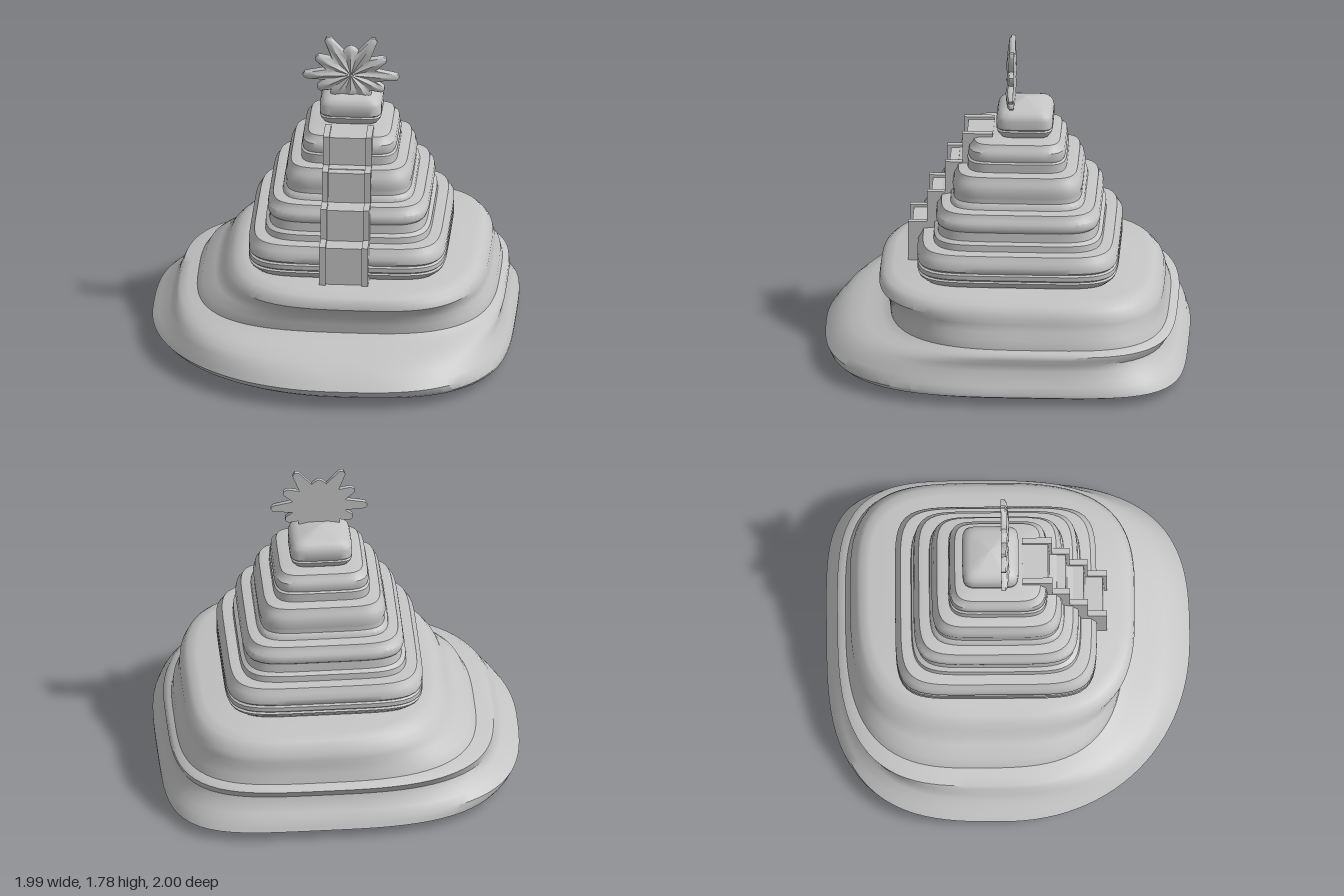
import * as THREE from 'three';
import { toCreasedNormals } from 'three/addons/utils/BufferGeometryUtils.js';

const SEG = 112;
const CX = 0.095; // axis of the pyramid

// Skin closed rings of equal length into a capped solid; rings run clockwise about the rising axis.
function skin(rings, crease) {
  const n = rings[0].length, pos = [], idx = [];
  rings.forEach(r => r.forEach(p => pos.push(...p)));
  for (let k = 0; k < rings.length - 1; k++) {
    for (let i = 0; i < n; i++) {
      const j = (i + 1) % n, a = k * n + i, b = k * n + j;
      idx.push(a, a + n, b, b, a + n, b + n);
    }
  }
  const cap = (k, bottom) => {
    const c = [0, 1, 2].map(d => rings[k].reduce((s, p) => s + p[d], 0) / n);
    const ci = pos.length / 3;
    pos.push(...c);
    for (let i = 0; i < n; i++) {
      const a = k * n + i, b = k * n + (i + 1) % n;
      if (bottom) idx.push(ci, a, b); else idx.push(ci, b, a);
    }
  };
  cap(0, true);
  cap(rings.length - 1, false);
  const g = new THREE.BufferGeometry();
  g.setAttribute('position', new THREE.Float32BufferAttribute(pos, 3));
  g.setIndex(idx);
  return toCreasedNormals(g, crease);
}

// Rounded-square ring; corner powers are ordered front-left, front-right, back-right, back-left.
function ring([y, x0, x1, z0, z1], powers, fx = 0.5, fz = 0.5) {
  const cx = x0 + (x1 - x0) * fx, cz = z0 + (z1 - z0) * fz, pts = [];
  for (let i = 0; i < SEG; i++) {
    const a = (i / SEG) * Math.PI * 2, c = Math.cos(a), s = Math.sin(a);
    const n = powers[Math.floor((i * 4) / SEG)];
    const r = Math.pow(Math.abs(c) ** n + Math.abs(s) ** n, -1 / n);
    pts.push([cx + c * r * (c > 0 ? x1 - cx : cx - x0), y, cz + s * r * (s > 0 ? z1 - cz : cz - z0)]);
  }
  return pts;
}

// Weathered rock mound: y, x range, z range
const MOUND = [
  [0, -0.6, 0.75, -0.75, 0.65],
  [0.02, -0.84, 0.92, -0.92, 0.86],
  [0.055, -0.94, 0.995, -0.995, 0.95],
  [0.075, -0.97, 0.995, -0.985, 0.98],
  [0.11, -0.995, 0.975, -0.97, 1.0],
  [0.145, -0.96, 0.96, -0.94, 0.97],
  [0.19, -0.9, 0.94, -0.91, 0.92],
  [0.225, -0.875, 0.935, -0.9, 0.86],
  [0.255, -0.86, 0.945, -0.92, 0.77],
  [0.275, -0.845, 0.94, -0.935, 0.69],
  [0.288, -0.8, 0.925, -0.92, 0.66],
  [0.3, -0.75, 0.905, -0.89, 0.64],
  [0.35, -0.72, 0.895, -0.875, 0.645],
  [0.39, -0.65, 0.87, -0.865, 0.65],
  [0.43, -0.61, 0.86, -0.865, 0.67],
  [0.465, -0.59, 0.855, -0.855, 0.7],
  [0.5, -0.56, 0.835, -0.83, 0.695],
  [0.525, -0.53, 0.81, -0.81, 0.67],
  [0.54, -0.48, 0.76, -0.76, 0.62],
];
// Corner powers at the foot of the mound and near its top
const FOOT = [3, 2.1, 3.05, 4.5], CROWN = [3, 3.2, 3, 3.6];

// Terraces: z centre, then [y, half width] profile
const TIERS = [
  { cz: -0.065, profile: [[0.53, 0.48], [0.545, 0.515], [0.57, 0.54], [0.583, 0.545], [0.59, 0.535], [0.6, 0.545],
    [0.625, 0.545], [0.633, 0.535], [0.645, 0.545], [0.675, 0.545], [0.7, 0.53], [0.73, 0.515], [0.735, 0.48]] },
  { cz: -0.065, profile: [[0.72, 0.46], [0.77, 0.455], [0.785, 0.435], [0.835, 0.43], [0.845, 0.44], [0.86, 0.445],
    [0.89, 0.44], [0.905, 0.425], [0.935, 0.415], [0.942, 0.38]] },
  { cz: -0.06, profile: [[0.93, 0.365], [0.96, 0.36], [0.975, 0.345], [0.995, 0.345], [1.005, 0.345], [1.03, 0.35],
    [1.075, 0.34], [1.09, 0.33], [1.118, 0.32], [1.125, 0.29]] },
  { cz: -0.055, profile: [[1.11, 0.265], [1.14, 0.265], [1.175, 0.265], [1.183, 0.255], [1.195, 0.26],
    [1.235, 0.255], [1.25, 0.24], [1.275, 0.228], [1.282, 0.2]] },
  { cz: -0.095, profile: [[1.275, 0.13], [1.29, 0.15], [1.31, 0.165], [1.325, 0.17], [1.332, 0.163], [1.34, 0.17],
    [1.39, 0.17], [1.41, 0.163], [1.43, 0.145], [1.44, 0.12], [1.47, 0.008]] },
];

// Side outline of the stairway, extruded across x; drop recesses it and lean tilts the risers back.
function stairs(width, drop, lean) {
  const steps = [[0.545, 0.77], [0.44, 0.95], [0.34, 1.13], [0.245, 1.3]];
  const s = new THREE.Shape();
  s.moveTo(-0.08, 1.2);
  s.lineTo(-0.3, 0.54);
  s.lineTo(-0.545 + drop, 0.54);
  steps.forEach(([z, y], i) => {
    const next = steps[i + 1] ? steps[i + 1][0] : 0.08 + drop;
    s.lineTo(-z + drop + lean, y - drop);
    s.lineTo(-next + drop, y - drop);
  });
  const g = new THREE.ExtrudeGeometry(s, { depth: width, bevelEnabled: false });
  return g.rotateY(Math.PI / 2);
}

// Sunburst: tips mirrored about the vertical, with raised rays on the front
function sunburst() {
  const half = [[0, 0.17], [0.135, 0.22], [0.195, 0.1], [0.267, -0.01], [0.185, -0.09], [0.1, -0.14]];
  const tips = [...half, [0, -0.14], ...half.slice(1).reverse().map(([x, y]) => [-x, y])];
  const outline = [];
  tips.forEach(([x, y], i) => {
    const [u, v] = tips[(i + 1) % tips.length];
    const l = Math.hypot(x, y), k = Math.hypot(u, v);
    const dx = x / l + u / k, dy = y / l + v / k, m = 0.148 / Math.hypot(dx, dy);
    // blunt tip, then the notch before the next ray
    const px = (y / l) * 0.02, py = (-x / l) * 0.02;
    outline.push([x * 0.95 - px, y * 0.95 - py, 0.5], [x, y, 1], [x * 0.95 + px, y * 0.95 + py, 0.5], [m * dx, m * dy, 0]);
  });
  const layer = (k, zRay, zNotch) => outline.map(([x, y, t]) => [x * k, y * k, zNotch + (zRay - zNotch) * t]);
  return skin([layer(1, -0.035, -0.035), layer(1, -0.012, -0.012), layer(0.92, 0, -0.003),
    layer(0.6, 0.01, -0.009), layer(0.12, 0.004, -0.004)], 0.9);
}

export function createModel() {
  const model = new THREE.Group();
  const stone = new THREE.MeshStandardMaterial({ color: 0xc4c4c4 });
  stone.name = 'stone';
  const add = (name, geometry, x = 0, y = 0, z = 0) => {
    const mesh = new THREE.Mesh(geometry, stone);
    mesh.name = name;
    mesh.position.set(x, y, z);
    model.add(mesh);
  };

  // Corners change gradually from foot to crown
  add('rockMound', skin(MOUND.map(r => {
    const t = THREE.MathUtils.smoothstep(r[0], 0.1, 0.32);
    return ring(r, FOOT.map((p, i) => THREE.MathUtils.lerp(p, CROWN[i], t)), 0.54, 0.48);
  }), 0.7));

  TIERS.forEach(({ cz, profile }, i) => {
    const rings = profile.map(([y, h]) => {
      const d = i === 4 ? h * 0.91 : h + 0.008;
      return ring([y, CX - h, CX + h, cz - d, cz + d], [6, 6, 6, 6]);
    });
    add(i === 4 ? 'shrine' : 'terrace' + (i + 1), skin(rings, 0.7));
  });

  // Stairway between two stepped side walls
  add('stairTreads', stairs(0.2, 0.015, 0.008), CX - 0.1);
  for (const side of [-1, 1]) add('stairWall', stairs(0.034, 0, 0), CX + side * 0.117 - 0.017);

  add('sunburst', sunburst(), CX, 1.56, -0.002);
  return model;
}
